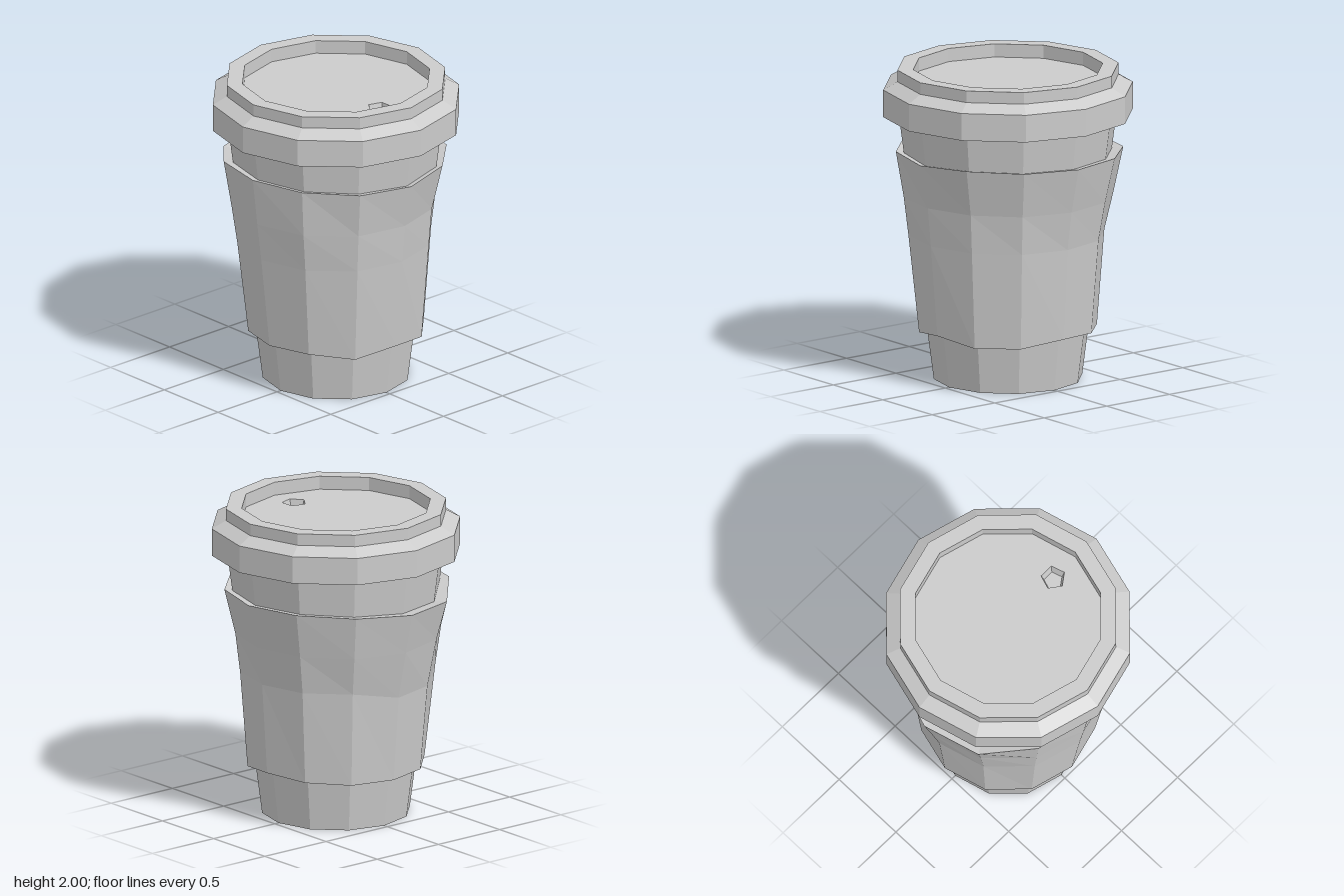
import * as THREE from 'three';

const SIDES = 12;
const material = new THREE.MeshStandardMaterial({ color: 0xcccccc, flatShading: true });

function part(name, geometry) {
  const mesh = new THREE.Mesh(geometry, material);
  mesh.name = name;
  return mesh;
}

function lathe(profile, sides = SIDES) {
  return new THREE.LatheGeometry(profile.map(([r, y]) => new THREE.Vector2(r, y)), sides);
}

function ringPoints(radius, sides, cx = 0) {
  return Array.from({ length: sides }, (_, i) => {
    const a = (i / sides) * Math.PI * 2;
    return new THREE.Vector2(cx + radius * Math.sin(a), -radius * Math.cos(a));
  });
}

const cupRadius = (y) => 0.47 + (0.22 * y) / 1.7;

// Slightly crumpled sleeve: one value per column, going from +x towards +z
function sleeveGeometry() {
  const topY = [1.465, 1.475, 1.485, 1.49, 1.485, 1.435, 1.44, 1.46, 1.47, 1.47, 1.475, 1.48];
  const topR = [0.7, 0.71, 0.7, 0.705, 0.72, 0.74, 0.745, 0.73, 0.72, 0.715, 0.71, 0.7];
  const upperR = [0.64, 0.66, 0.67, 0.667, 0.67, 0.67, 0.683, 0.67, 0.655, 0.645, 0.64, 0.63];
  const lowerR = [0.615, 0.63, 0.633, 0.633, 0.633, 0.61, 0.612, 0.61, 0.61, 0.603, 0.61, 0.61];
  const bottomY = [0.345, 0.305, 0.335, 0.33, 0.325, 0.32, 0.32, 0.32, 0.33, 0.345, 0.31, 0.305];
  const rows = [
    (k) => [cupRadius(topY[k]) - 0.005, topY[k] - 0.01],
    (k) => [topR[k], topY[k]],
    (k) => [upperR[k], 1.18],
    (k) => [lowerR[k], k === 5 || k === 6 ? 0.87 : 0.93],
    (k) => [0.563, bottomY[k]],
    (k) => [cupRadius(bottomY[k]) - 0.005, bottomY[k]],
  ];
  const positions = [];
  const index = [];
  rows.forEach((row, j) => {
    for (let k = 0; k < SIDES; k++) {
      const [r, y] = row(k);
      const a = (k / SIDES) * Math.PI * 2;
      positions.push(r * Math.cos(a), y, r * Math.sin(a));
      if (j === 0) continue;
      const n = (k + 1) % SIDES;
      const up = (j - 1) * SIDES;
      const down = j * SIDES;
      index.push(up + k, up + n, down + k, up + n, down + n, down + k);
    }
  });
  const geometry = new THREE.BufferGeometry();
  geometry.setAttribute('position', new THREE.Float32BufferAttribute(positions, 3));
  geometry.setIndex(index);
  geometry.computeVertexNormals();
  return geometry;
}

export function createModel() {
  const model = new THREE.Group();
  model.name = 'takeawayCup';

  // Tapered cup with closed base
  model.add(part('cup', lathe([[0, 0], [0.47, 0], [0.69, 1.7]])));
  model.add(part('sleeve', sleeveGeometry()));

  // Lid with overhanging skirt, raised rim and recessed top
  const lid = new THREE.Group();
  lid.name = 'lid';
  const floorY = 1.915;
  lid.add(part('lidRim', lathe([
    [0.67, 1.7], [0.79, 1.7], [0.79, 1.875], [0.7, 1.925], [0.7, 2], [0.6, 2], [0.6, floorY],
  ])));

  // Lid top pierced by the drinking hole
  const holeX = 0.405;
  const holeR = 0.078;
  const floor = new THREE.Shape(ringPoints(0.6, SIDES));
  floor.holes.push(new THREE.Path(ringPoints(holeR, 5, holeX)));
  const floorGeometry = new THREE.ShapeGeometry(floor);
  floorGeometry.rotateX(-Math.PI / 2).translate(0, floorY, 0);
  lid.add(part('lidTop', floorGeometry));

  // Shallow five-sided pit under the hole
  const pit = part('drinkingHole', lathe([[holeR, 0], [0.06, -0.06], [0, -0.06]], 5));
  pit.position.set(holeX, floorY, 0);
  lid.add(pit);

  model.add(lid);
  return model;
}
